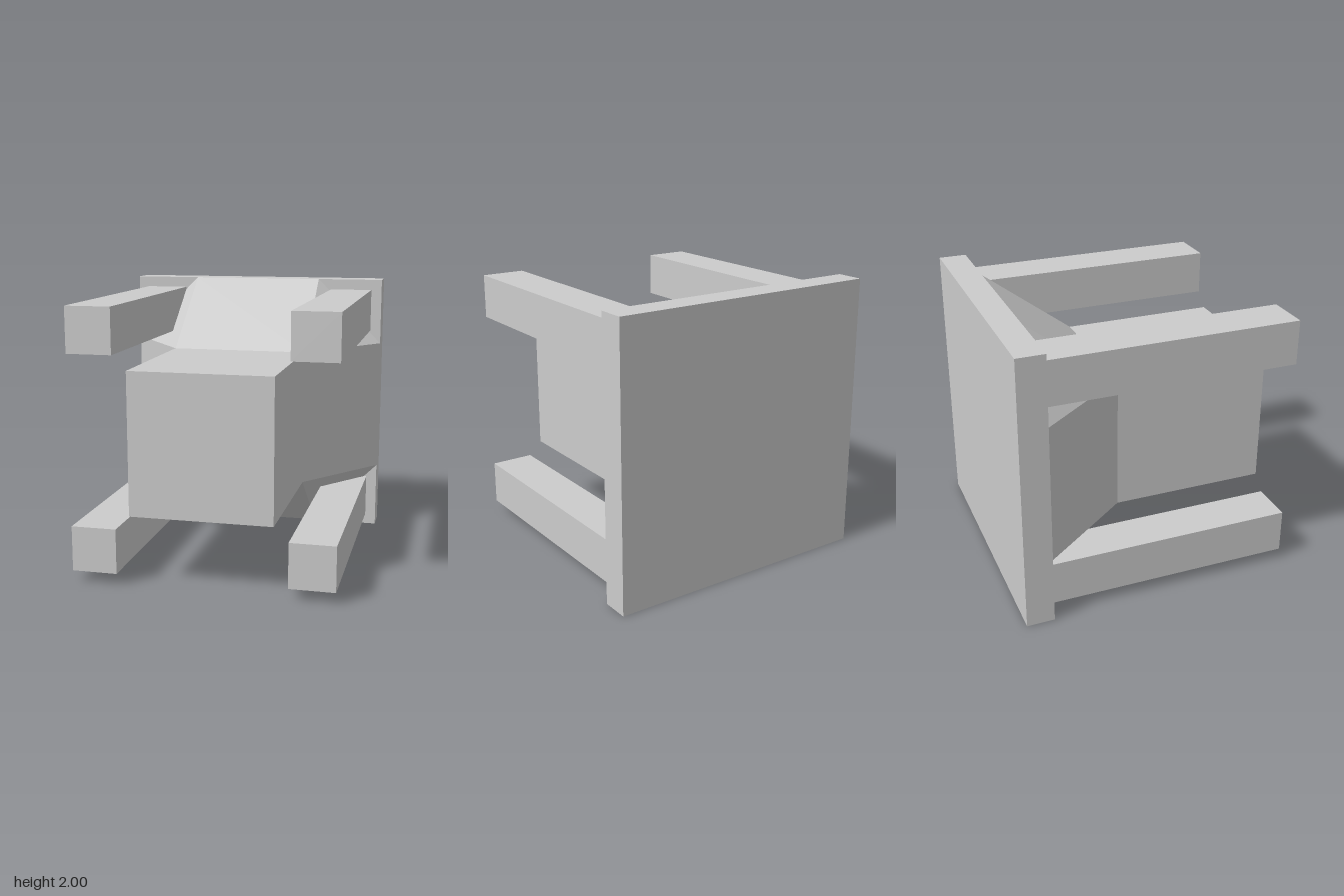
import * as THREE from 'three';
import { ConvexGeometry } from 'three/addons/geometries/ConvexGeometry.js';

export function createModel() {
  const model = new THREE.Group();
  const material = new THREE.MeshStandardMaterial({ color: 0xcccccc, flatShading: true });

  function add(name, geometry, x, y, z) {
    const mesh = new THREE.Mesh(geometry, material);
    mesh.name = name;
    mesh.position.set(x, y, z);
    model.add(mesh);
  }

  // Square plate at the back
  add('backPlate', new THREE.BoxGeometry(2, 2, 0.2), 0, 1, -0.9);

  // Central block reaching forward from the plate
  add('core', new THREE.BoxGeometry(1, 1, 1.8), 0, 1, 0.1);

  // Flared collar: a square at the core widening to an octagon on the plate
  const corners = [];
  for (const sx of [-1, 1]) {
    for (const sy of [-1, 1]) {
      corners.push(
        new THREE.Vector3(sx * 0.5, sy * 0.5, 0.66),
        new THREE.Vector3(sx * 0.5, sy, 0),
        new THREE.Vector3(sx, sy * 0.5, 0)
      );
    }
  }
  add('flaredCollar', new ConvexGeometry(corners), 0, 1, -0.8);

  // Four square posts around the core
  for (const [side, sx] of [['Left', 1], ['Right', -1]]) {
    for (const [level, sy] of [['upper', 1], ['lower', -1]]) {
      add(`${level}${side}Post`, new THREE.BoxGeometry(0.32, 0.32, 1.8), sx * 0.76, 1 + sy * 0.76, 0.1);
    }
  }

  return model;
}
